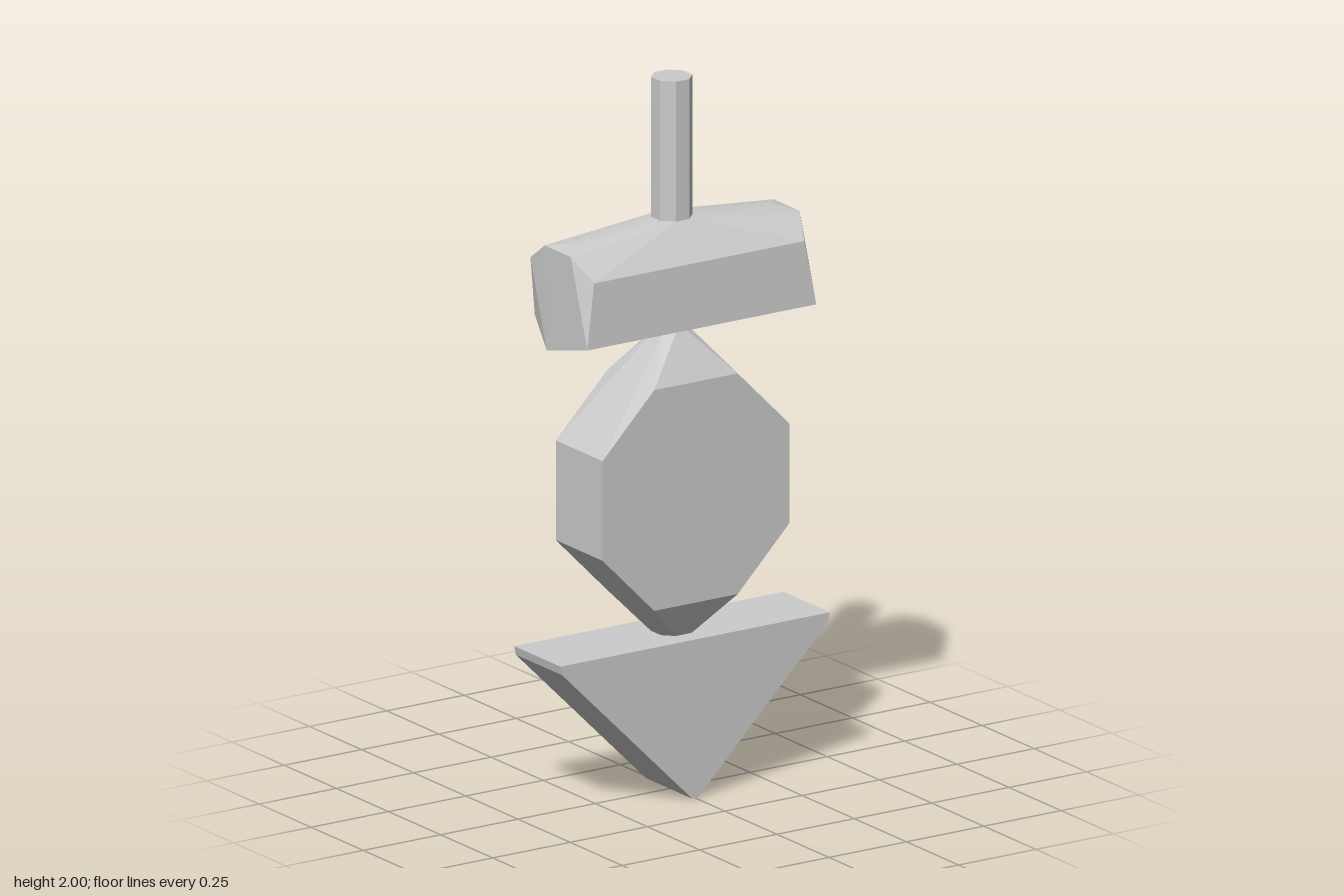
import * as THREE from 'three';
import { ConvexGeometry } from 'three/addons/geometries/ConvexGeometry.js';

const grey = new THREE.MeshStandardMaterial({ color: 0xcccccc, flatShading: true });

function part(name, geometry) {
  const mesh = new THREE.Mesh(geometry, grey);
  mesh.name = name;
  return mesh;
}

// Regular eight-sided ring with flat sides facing the axes
function ring(y, apothem, z = 0) {
  const r = apothem / Math.cos(Math.PI / 8);
  return Array.from({ length: 8 }, (_, i) => {
    const a = (i + 0.5) * Math.PI / 4;
    return new THREE.Vector3(r * Math.cos(a), y, z + r * Math.sin(a));
  });
}

// Each [x, y, z] is mirrored across x
const mirrored = (list) => list.flatMap(([x, y, z]) =>
  [x, -x].map((sx) => new THREE.Vector3(sx, y, z)));

export function createModel() {
  const model = new THREE.Group();

  // Wedge-shaped base standing on its point
  const outline = [[-0.01, 0], [0.01, 0], [0.43, 0.42], [0.435, 0.445], [-0.435, 0.445], [-0.43, 0.42]];
  const wedge = new THREE.ExtrudeGeometry(
    new THREE.Shape(outline.map(([x, y]) => new THREE.Vector2(x, y))),
    { depth: 0.222, bevelEnabled: false });
  wedge.translate(0, 0, -0.114);
  model.add(part('baseWedge', wedge));

  // Eight-sided slab tapering to a small neck above and below
  const slab = [0.112, -0.112].flatMap((z) => mirrored([
    [0.135, 0.55, z], [0.302, 0.72, z], [0.302, 1.0, z], [0.135, 1.17, z],
  ]));
  model.add(part('middleSlab', new ConvexGeometry(
    [...ring(0.44, 0.05), ...slab, ...ring(1.293, 0.042)])));

  // Tilted crossbar rising to the foot of the rod
  const bar = mirrored([
    [0.37, 1.33, 0.14], [0.34, 1.51, 0.128], [0.37, 1.572, 0.06],
    [0.335, 1.582, 0.005], [0.335, 1.582, -0.02], [0.37, 1.572, -0.065],
    [0.368, 1.52, -0.136], [0.35, 1.355, -0.142], [0.37, 1.28, -0.055],
  ]);
  model.add(part('crossbar', new ConvexGeometry([...bar, ...ring(1.607, 0.052, -0.004)])));

  // Eight-sided rod
  model.add(part('rod', new ConvexGeometry(
    [...ring(1.59, 0.052, -0.004), ...ring(2, 0.052, -0.004)])));

  return model;
}
